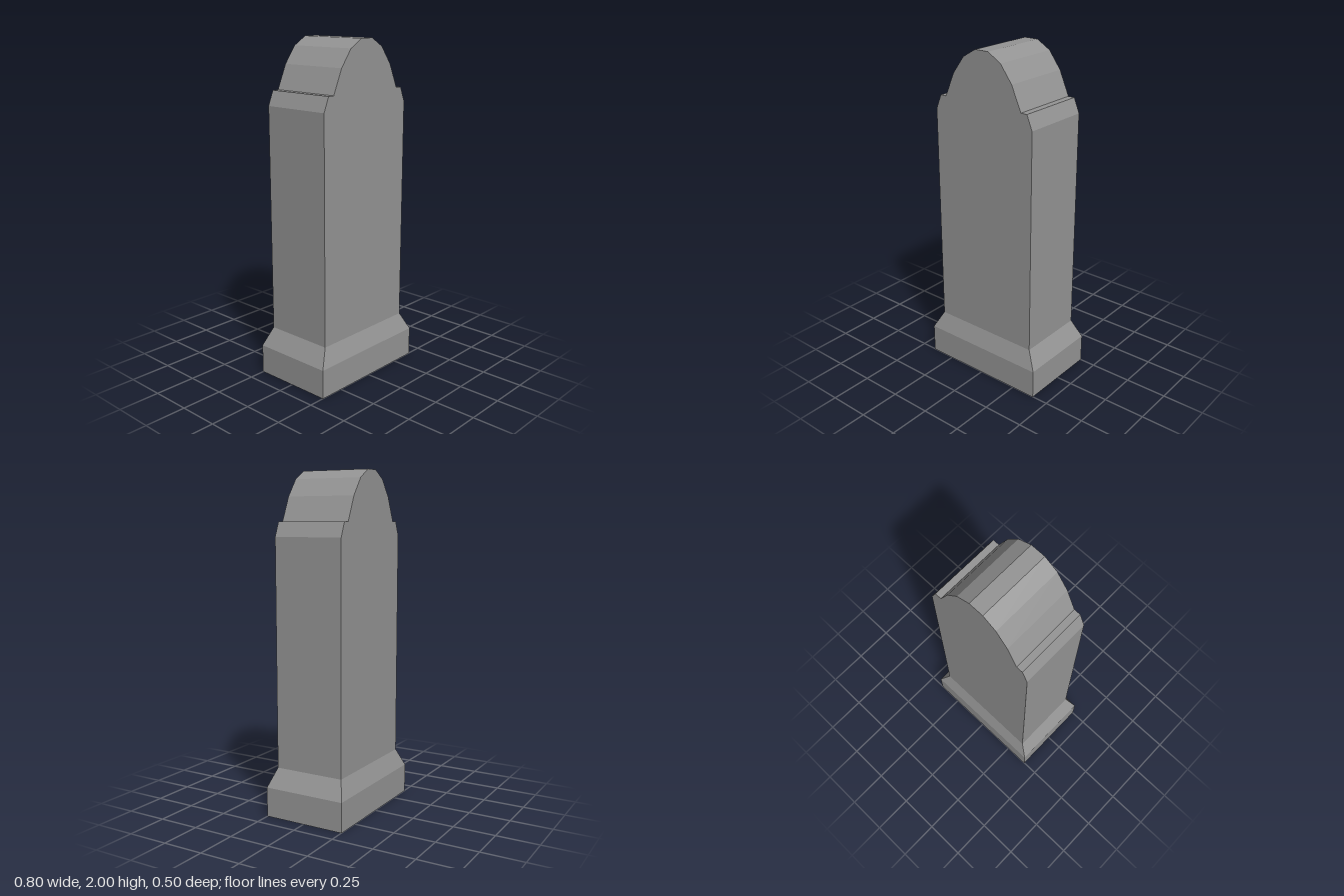
import * as THREE from 'three';

const material = new THREE.MeshStandardMaterial({ color: 0x949494, flatShading: true });

const SLAB_X = 0.342, SLAB_Z = 0.214; // half sizes of the upright slab
const BASE_X = 0.402, BASE_Z = 0.252; // half sizes of the plinth
const BEVEL_Y = 0.175, SLAB_Y = 0.285; // where the plinth bevel starts and ends

// Plinth: a box with two height segments, its top ring drawn in to the slab
function createPlinth() {
  const geometry = new THREE.BoxGeometry(2 * BASE_X, 2, 2 * BASE_Z, 1, 2, 1);
  const p = geometry.attributes.position;
  for (let i = 0; i < p.count; i++) {
    const level = Math.round(p.getY(i)); // -1 bottom, 0 middle, 1 top
    p.setY(i, [0, BEVEL_Y, SLAB_Y][level + 1]);
    if (level === 1) {
      p.setX(i, Math.sign(p.getX(i)) * SLAB_X);
      p.setZ(i, Math.sign(p.getZ(i)) * SLAB_Z);
    }
  }
  geometry.computeVertexNormals();
  const plinth = new THREE.Mesh(geometry, material);
  plinth.name = 'plinth';
  return plinth;
}

// Slab: half of the shouldered arch outline, mirrored and extruded
function createSlab() {
  const half = [
    [SLAB_X, SLAB_Y], [SLAB_X, 1.625], [0.307, 1.71], [0.267, 1.71],
    [0.205, 1.85], [0.13, 1.95], [0.045, 2],
  ];
  const mirrored = half.map(([x, y]) => [-x, y]).reverse();
  const outline = [...half, ...mirrored].map(([x, y]) => new THREE.Vector2(x, y));
  const geometry = new THREE.ExtrudeGeometry(new THREE.Shape(outline), {
    depth: 2 * SLAB_Z, bevelEnabled: false,
  });
  geometry.translate(0, 0, -SLAB_Z);
  const slab = new THREE.Mesh(geometry, material);
  slab.name = 'archedSlab';
  return slab;
}

export function createModel() {
  const group = new THREE.Group();
  group.name = 'gravestone';
  group.add(createPlinth(), createSlab());
  return group;
}
